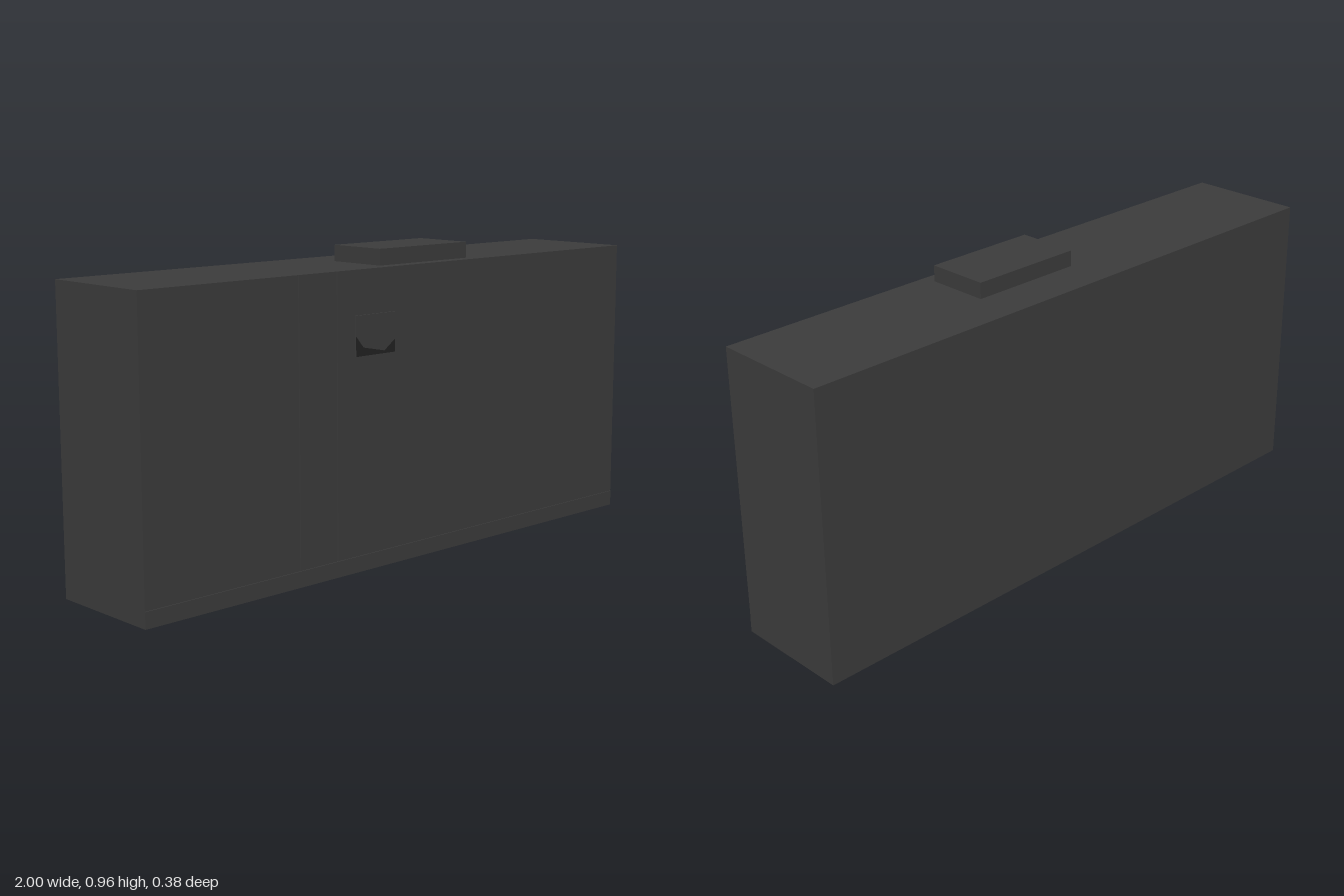
import * as THREE from 'three';

const HEIGHT = 0.91, BACK = -0.192, FRONT = 0.187, KICK = 0.05;

export function createModel() {
  const model = new THREE.Group();
  const casing = new THREE.MeshStandardMaterial({ color: 0x3c3c3c });
  casing.name = 'charcoal casing';
  const shellMat = casing.clone();
  shellMat.side = THREE.DoubleSide;
  shellMat.name = 'charcoal sheet';
  const dark = new THREE.MeshStandardMaterial({ color: 0x222222, side: THREE.DoubleSide });
  dark.name = 'dark lining';

  function add(name, geometry, material) {
    const mesh = new THREE.Mesh(geometry, material);
    mesh.name = name;
    model.add(mesh);
    return mesh;
  }
  // Box given by its low and high corners
  function box(name, [x0, y0, z0], [x1, y1, z1], material = casing) {
    const g = new THREE.BoxGeometry(x1 - x0, y1 - y0, z1 - z0);
    g.translate((x0 + x1) / 2, (y0 + y1) / 2, (z0 + z1) / 2);
    return add(name, g, material);
  }

  // Hollow body: sides, top and back only, open underneath
  const shell = box('shell', [-1, 0, BACK], [1, HEIGHT, FRONT], shellMat).geometry;
  const index = Array.from(shell.index.array);
  index.splice(18, 12); // drop the bottom and front faces
  shell.setIndex(index);
  shell.clearGroups();

  // Dark lining behind the front panels
  const lining = new THREE.PlaneGeometry(1.998, HEIGHT - KICK);
  lining.translate(0, (HEIGHT + KICK) / 2, FRONT - 0.007);
  add('frontLining', lining, dark);

  // Front panels parted by two narrow vertical grooves
  const gap = 0.0015;
  const seams = [-1, -0.447, -0.3, 1];
  for (let i = 0; i < 3; i++) {
    const x0 = seams[i] + (i > 0 ? gap : 0);
    const x1 = seams[i + 1] - (i < 2 ? gap : 0);
    box('frontPanel' + (i + 1), [x0, KICK, FRONT - 0.006], [x1, HEIGHT, FRONT]);
  }

  // Kick plate along the foot of the front
  box('kickPlate', [-1, 0, FRONT - 0.008], [1, KICK - 0.001, FRONT + 0.001]);

  // Small control plate with a dark lower edge
  box('controlPlate', [-0.23, 0.655, FRONT], [-0.07, 0.776, FRONT + 0.005]);
  const edge = new THREE.Shape([
    [-0.23, 0.655], [-0.07, 0.655], [-0.07, 0.695], [-0.115, 0.663], [-0.2, 0.68], [-0.23, 0.715],
  ].map(([x, y]) => new THREE.Vector2(x, y)));
  add('controlPlateEdge', new THREE.ShapeGeometry(edge), dark).position.z = FRONT + 0.0055;

  // Low housing on the roof
  box('roofHousing', [-0.09, HEIGHT, -0.052], [0.285, 0.96, 0.147]);

  return model;
}
